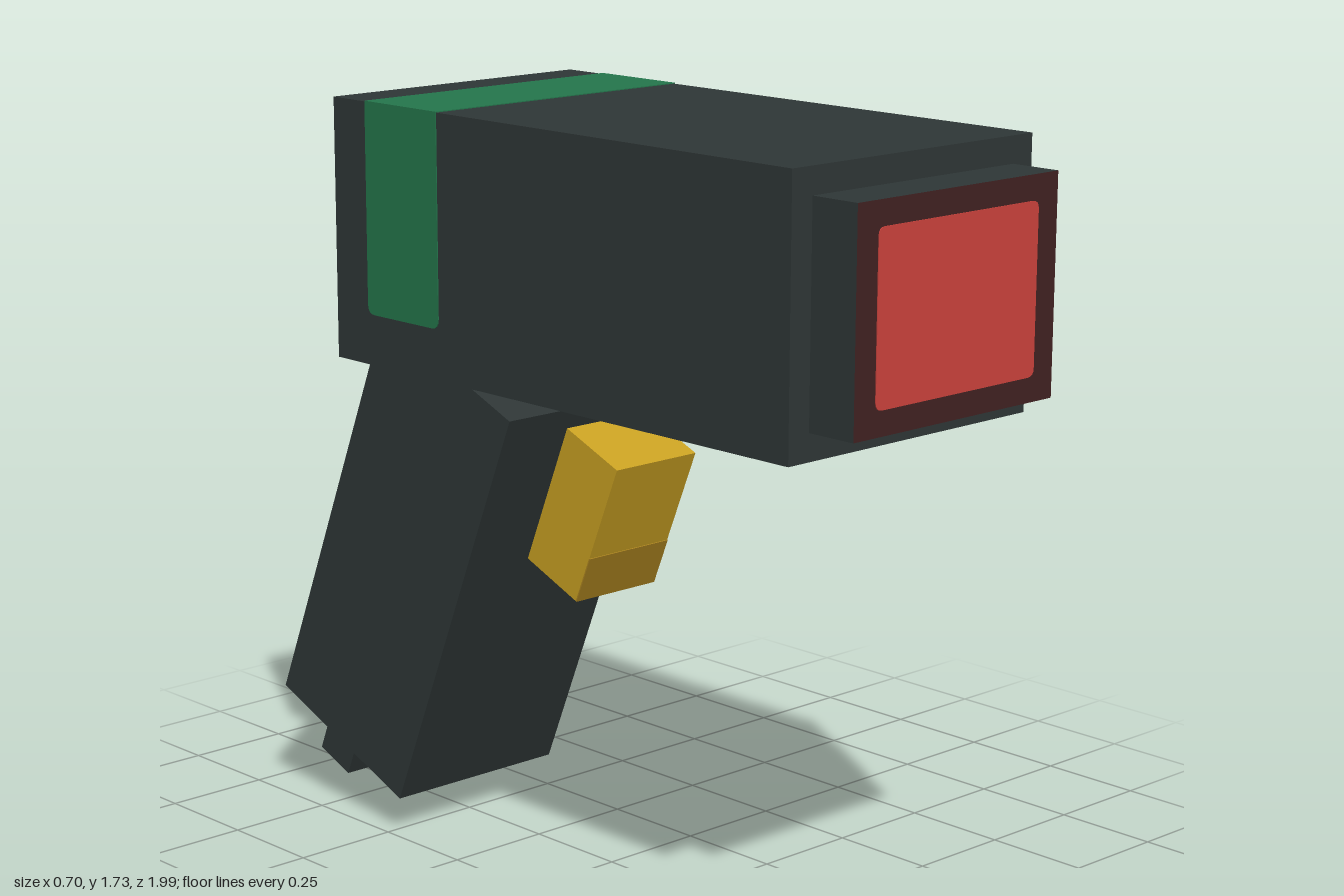
import * as THREE from 'three';

const paint = (name, color) => {
  const m = new THREE.MeshStandardMaterial({ color });
  m.name = name;
  return m;
};

export function createModel() {
  const casing = paint('dark casing', 0x2e3636);
  const bezel = paint('maroon bezel', 0x402121);
  const glass = paint('red window', 0xca423c);
  const green = paint('green stripe', 0x24754b);
  const gold = paint('gold trigger', 0xc9a022);
  const darkGold = paint('dark gold trigger tip', 0xab831f);

  const model = new THREE.Group();
  const add = (parent, name, geometry, material, x = 0, y = 0, z = 0) => {
    const mesh = new THREE.Mesh(geometry, material);
    mesh.name = name;
    mesh.position.set(x, y, z);
    parent.add(mesh);
    return mesh;
  };
  const box = (w, h, d) => new THREE.BoxGeometry(w, h, d);

  // Thin plate with rounded bottom corners, and rounded top corners if rTop > 0
  const plate = (w, h, r, rTop, depth) => {
    const a = w / 2, b = h / 2;
    const s = new THREE.Shape();
    s.moveTo(-a + r, -b);
    s.lineTo(a - r, -b);
    s.quadraticCurveTo(a, -b, a, -b + r);
    s.lineTo(a, b - rTop);
    if (rTop) s.quadraticCurveTo(a, b, a - rTop, b);
    s.lineTo(-a + rTop, b);
    if (rTop) s.quadraticCurveTo(-a, b, -a, b - rTop);
    s.lineTo(-a, -b + r);
    s.quadraticCurveTo(-a, -b, -a + r, -b);
    return new THREE.ExtrudeGeometry(s, { depth, bevelEnabled: false, curveSegments: 4 });
  };

  // Head: main housing, nose with a coloured front face, and window
  add(model, 'housing', box(0.7, 0.583, 1.4), casing, 0, 1.4425, 0.18);
  add(model, 'nose', box(0.586, 0.466, 0.118),
    [casing, casing, casing, casing, bezel, casing], 0, 1.443, 0.939);
  add(model, 'scanWindow', plate(0.468, 0.36, 0.018, 0.018, 0.003), glass, 0, 1.443, 0.997);

  // Stripe wrapping over the top and down both sides
  add(model, 'topStripe', box(0.704, 0.004, 0.24), green, 0, 1.734, -0.29);
  for (const side of [-1, 1]) {
    const stripe = add(model, side > 0 ? 'leftStripe' : 'rightStripe',
      plate(0.24, 0.47, 0.022, 0, 0.004), green, side * 0.348, 1.5, -0.29);
    stripe.rotation.y = side * Math.PI / 2;
  }

  // Raked handle with the tail block flush with its back
  const tilt = THREE.MathUtils.degToRad(22.4);
  const handle = new THREE.Group();
  handle.name = 'handle';
  handle.position.set(0, 0.6625, -0.49);
  handle.rotation.x = tilt;
  model.add(handle);
  add(handle, 'grip', box(0.466, 1.05, 0.464), casing);
  add(handle, 'tailBlock', box(0.116, 0.237, 0.112), casing, 0, -0.6435, -0.176);

  // Trigger with a darker lower front
  const trigger = new THREE.Group();
  trigger.name = 'trigger';
  trigger.position.set(0, 0.8425, -0.0025);
  trigger.rotation.x = tilt;
  model.add(trigger);
  add(trigger, 'triggerBlock', box(0.236, 0.348, 0.173), gold);
  add(trigger, 'triggerTip', box(0.236, 0.115, 0.003), darkGold, 0, -0.1165, 0.087);

  return model;
}
